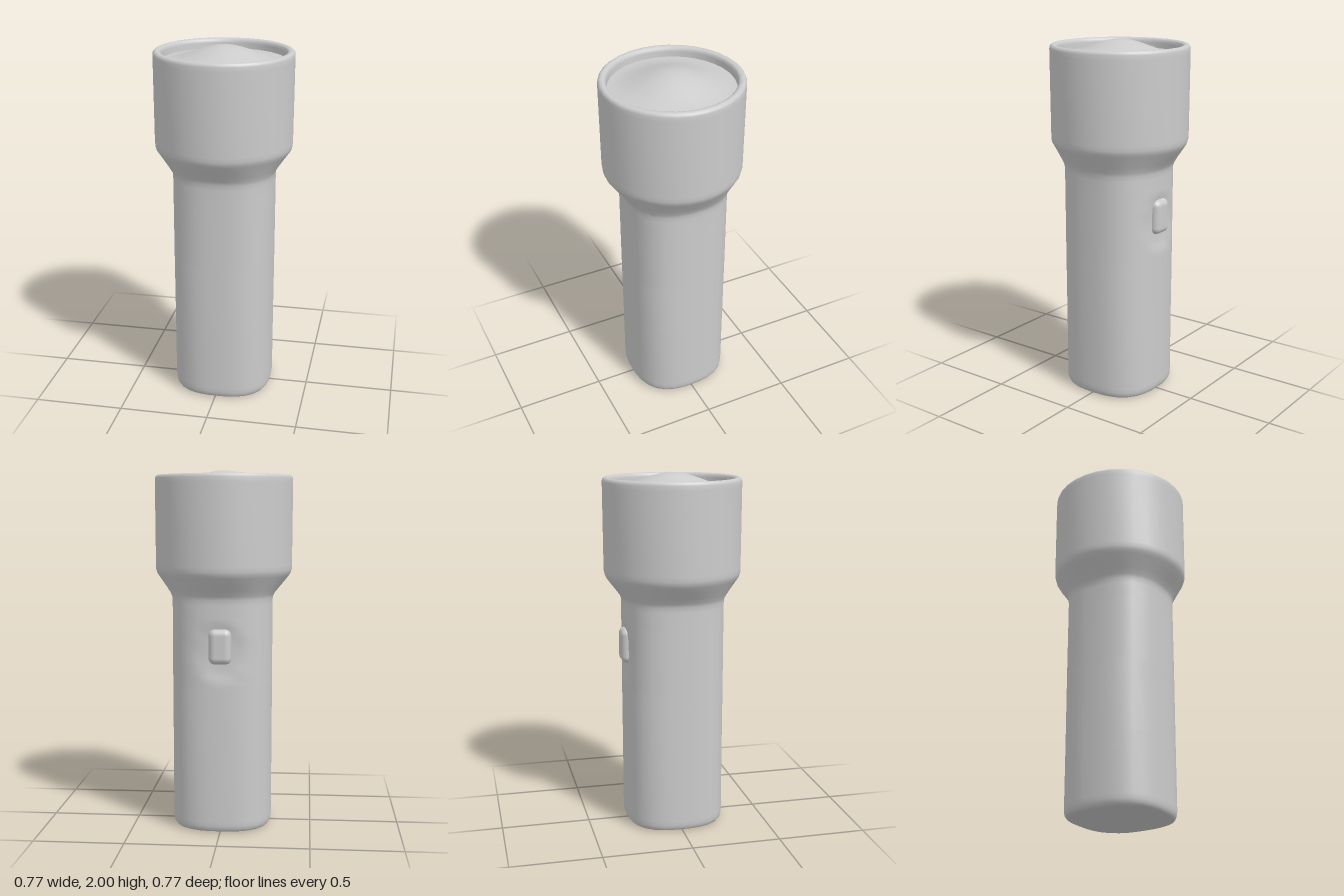
import * as THREE from 'three';
import { RoundedBoxGeometry } from 'three/addons/geometries/RoundedBoxGeometry.js';

const SEG = 32;

// Radius of a squarish round section: n = 2 is a circle, more is squarer
function sectionRadius(a, n, t) {
  return a / Math.pow(Math.abs(Math.sin(t)) ** n + Math.abs(Math.cos(t)) ** n, 1 / n);
}

// Rows are [y, half width, squareness, x offset], from the bottom up
function loft(rows, shape) {
  const pos = [], index = [];
  rows.forEach(([y, a, n, dx], i) => {
    for (let j = 0; j < SEG; j++) {
      const t = (j / SEG) * Math.PI * 2;
      const r = sectionRadius(a, n, t);
      const p = new THREE.Vector3(r * Math.sin(t) + dx, y, r * Math.cos(t));
      shape(p);
      pos.push(p.x, p.y, p.z);
      if (i < rows.length - 1) {
        const k = (j + 1) % SEG, b = i * SEG, c = b + SEG;
        index.push(b + j, b + k, c + j, b + k, c + k, c + j);
      }
    }
  });
  const geo = new THREE.BufferGeometry();
  geo.setAttribute('position', new THREE.Float32BufferAttribute(pos, 3));
  geo.setIndex(index);
  geo.computeVertexNormals();
  return geo;
}

export function createModel() {
  const group = new THREE.Group();
  const material = new THREE.MeshStandardMaterial({ color: 0xcccccc });
  const add = (name, geometry) => {
    const mesh = new THREE.Mesh(geometry, material);
    mesh.name = name;
    group.add(mesh);
    return mesh;
  };

  // Handle: flat base, small rounded edge, straight squarish barrel
  const N = 2.65, DX = 0.006;
  const rows = [[0, 0], [0, 0.22], [0, 0.255], [0.005, 0.267], [0.017, 0.275], [0.035, 0.279], [0.06, 0.28], [0.4, 0.28]]
    .map(([y, a]) => [y, a, N, DX]);
  for (let y = 0.8; y < 1.21; y += 0.025) rows.push([y, 0.281, N, DX]);
  rows.push([1.27, 0.281, N, DX], [1.3, 0.283, 2.6, DX]);

  // Flare into the round head, then the rolled rim and its inner wall
  rows.push(
    [1.32, 0.291, 2.5, 0.005], [1.35, 0.313, 2.3, 0.003], [1.39, 0.344, 2.1, 0.001],
    ...[[1.42, 0.367], [1.437, 0.377], [1.455, 0.382], [1.48, 0.383], [1.93, 0.385], [1.955, 0.385],
      [1.967, 0.381], [1.974, 0.372], [1.975, 0.362], [1.972, 0.351], [1.965, 0.343], [1.95, 0.34], [1.9, 0.338]]
      .map(([y, a]) => [y, a, 2, 0]));

  // Shallow hollow around the switch at the back
  const hollow = (p) => {
    if (p.z > 0) return;
    const d = (p.x / 0.13) ** 2 + ((p.y - 1.01) / 0.17) ** 2;
    if (d < 1) p.z += 0.016 * (1 - d * d);
  };
  add('body', loft(rows, hollow));

  // Bell-shaped lens that just rises above the rim
  const profile = [];
  for (let i = 0; i <= 14; i++) {
    const r = 0.34 * (1 - i / 14);
    profile.push(new THREE.Vector2(r, 1.92 + 0.04 * (1 + Math.cos((Math.PI * r) / 0.34))));
  }
  add('lens', new THREE.LatheGeometry(profile, SEG));

  // Switch button on the back
  add('switchButton', new RoundedBoxGeometry(0.125, 0.195, 0.08, 5, 0.036)).position.set(0, 1.045, -0.262);

  return group;
}
